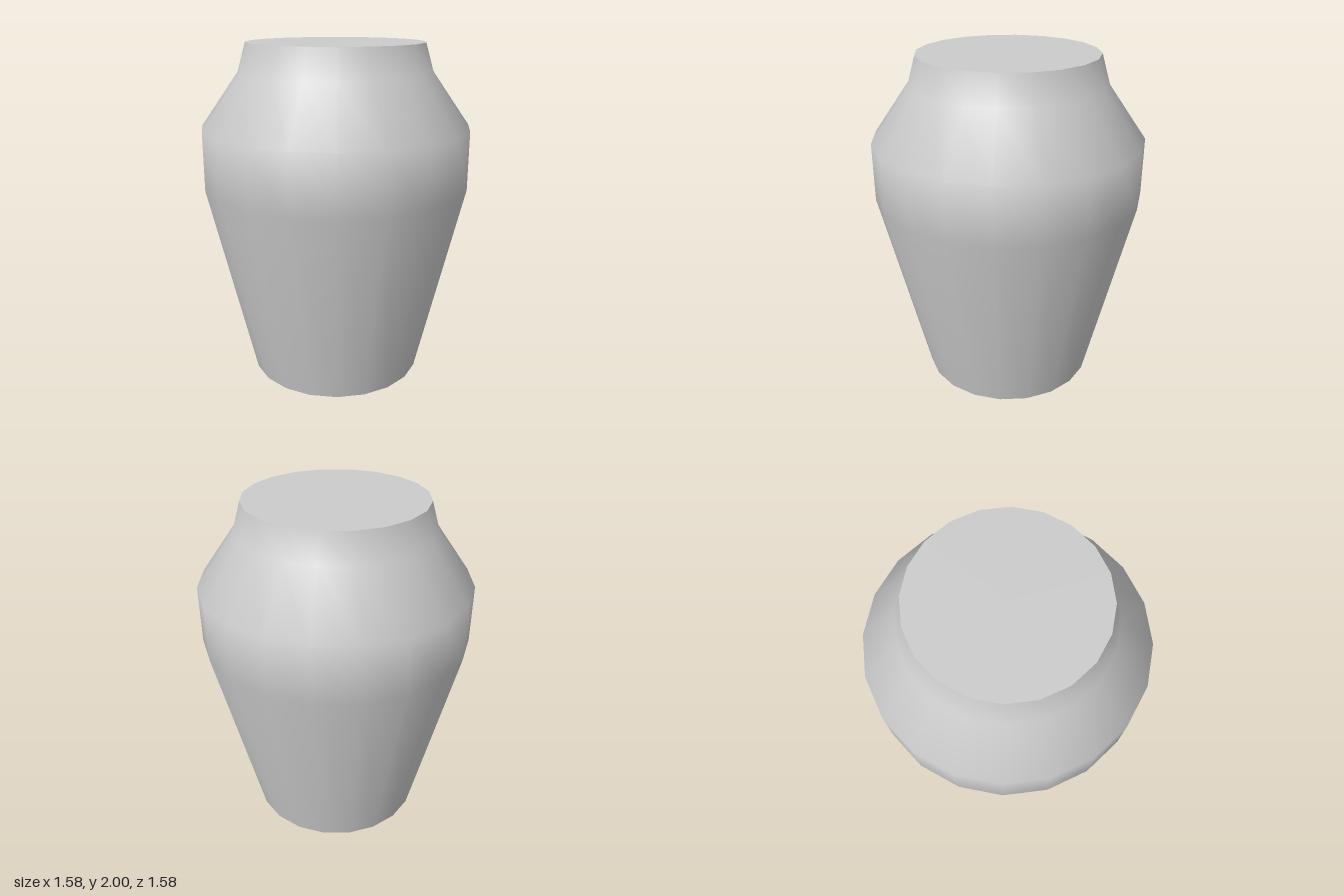
import * as THREE from 'three';

const SIDES = 20;
const HEIGHT = 2;
const RIM = 0.518;

export function createModel() {
  const group = new THREE.Group();
  group.name = 'vase';
  const material = new THREE.MeshStandardMaterial({ color: 0xcccccc });

  const add = (name, geometry) => {
    const mesh = new THREE.Mesh(geometry, material);
    mesh.name = name;
    group.add(mesh);
    return mesh;
  };

  // Smooth wall: tapered body, straight belly, sloping shoulder, short neck
  const profile = [
    [RIM, 0],
    [0.788, 1.18],
    [0.788, 1.52],
    [0.568, 1.83],
    [RIM, HEIGHT],
  ].map(([r, y]) => new THREE.Vector2(r, y));
  add('body', new THREE.LatheGeometry(profile, SIDES));

  // Flat closed ends
  const top = add('topCap', new THREE.CircleGeometry(RIM, SIDES).rotateX(-Math.PI / 2));
  top.position.y = HEIGHT;
  add('base', new THREE.CircleGeometry(RIM, SIDES).rotateX(Math.PI / 2));

  return group;
}
